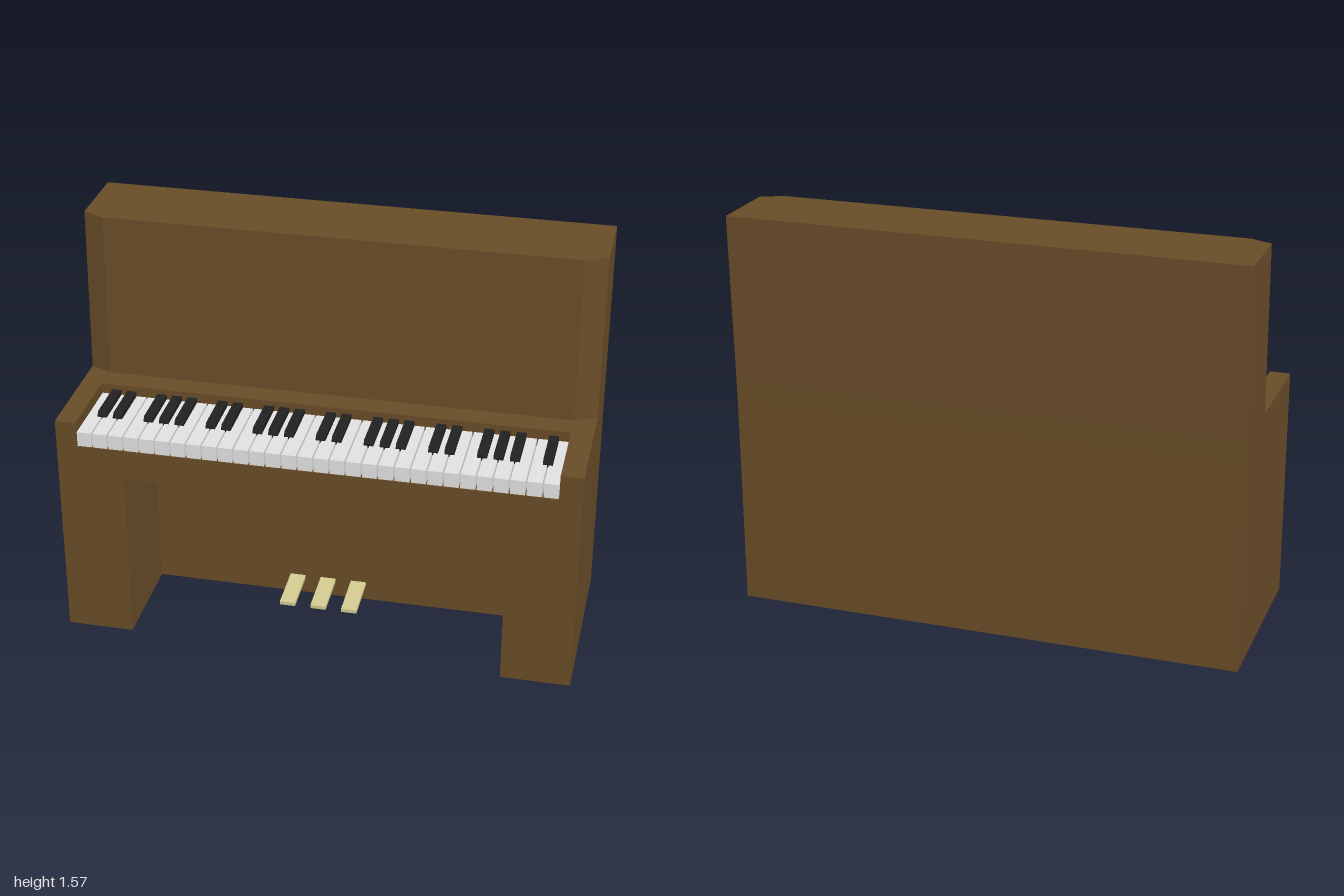
import * as THREE from 'three';

const mat = (name, color) => {
  const m = new THREE.MeshStandardMaterial({ color });
  m.name = name;
  return m;
};

// Extrudes a [z, y] side profile from x0 to x1
function extrudeX(profile, x0, x1) {
  const shape = new THREE.Shape(profile.map(([z, y]) => new THREE.Vector2(-z, y)));
  const geo = new THREE.ExtrudeGeometry(shape, { depth: x1 - x0, bevelEnabled: false });
  return geo.rotateY(Math.PI / 2).translate(x0, 0, 0);
}

export function createModel() {
  const wood = mat('walnut wood', 0x684c27);
  const ivory = mat('white key', 0xe0e0e0);
  const ebony = mat('black key', 0x202020);
  const brass = mat('brass', 0xd2ca90);

  const piano = new THREE.Group();
  piano.name = 'uprightPiano';
  const add = (parent, name, geo, material) => {
    const mesh = new THREE.Mesh(geo, material);
    mesh.name = name;
    parent.add(mesh);
    return mesh;
  };

  const front = 0.385, back = -0.365, deck = 0.92, bed = 0.82;
  const keyL = -0.92, keyR = 0.914, kneeL = -0.74, kneeR = 0.73;
  const keyBack = 0.06, kneeBack = -0.025, kneeTop = 0.70;

  // Lower case: solid cheeks, posts under the key bed, centre with knee space
  const rear = [[-0.367, deck], [back, 0.84], [back, 0]];
  const recess = [[front, bed], [keyBack, bed], [keyBack, deck]];
  const cheek = [[front, 0], [front, deck], ...rear];
  const post = [[front, 0], ...recess, ...rear];
  const centre = [[kneeBack, 0], [kneeBack, kneeTop], [front, kneeTop], ...recess, ...rear];
  add(piano, 'rightCheek', extrudeX(cheek, -1, keyL), wood);
  add(piano, 'leftCheek', extrudeX(cheek, keyR, 1), wood);
  add(piano, 'rightPost', extrudeX(post, keyL, kneeL), wood);
  add(piano, 'leftPost', extrudeX(post, kneeR, keyR), wood);
  add(piano, 'centreCase', extrudeX(centre, kneeL, kneeR), wood);

  // Upper cabinet: chamfered plan, leaning slightly backwards
  const plan = [[-1, -0.367], [1, -0.367], [1, -0.075], [0.915, -0.035], [-0.915, -0.035], [-1, -0.075]];
  const height = 0.655;
  const upper = new THREE.ExtrudeGeometry(
    new THREE.Shape(plan.map(([x, z]) => new THREE.Vector2(x, -z))),
    { depth: height, bevelEnabled: false });
  upper.rotateX(-Math.PI / 2);
  const p = upper.attributes.position;
  for (let i = 0; i < p.count; i++) p.setZ(i, p.getZ(i) - 0.019 * p.getY(i) / height);
  upper.computeVertexNormals();
  upper.translate(0, deck, 0);
  add(piano, 'upperCabinet', upper, wood);

  // Keyboard: thirty white keys, black keys in groups of two and three
  const keyboard = new THREE.Group();
  keyboard.name = 'keyboard';
  piano.add(keyboard);
  const count = 30, pitch = (keyR - keyL) / count;
  const whiteGeo = new THREE.BoxGeometry(pitch - 0.006, 0.059, 0.32);
  const blackGeo = extrudeX(
    [[0.25, 0.87], [0.25, 0.886], [0.237, 0.899], [keyBack, 0.899], [keyBack, 0.87]], -0.0185, 0.0185);
  for (let i = 0; i < count; i++) {
    add(keyboard, 'whiteKey', whiteGeo, ivory).position.set(keyL + (i + 0.5) * pitch, 0.8505, 0.222);
    if (i > 0 && i % 7 !== 0 && i % 7 !== 3) {
      add(keyboard, 'blackKey', blackGeo, ebony).position.x = keyL + i * pitch;
    }
  }

  // Three pedals, tipped down towards the player
  const pedalGeo = new THREE.BoxGeometry(0.062, 0.015, 0.2);
  for (const x of [-0.16, -0.035, 0.09]) {
    const pedal = add(piano, 'pedal', pedalGeo, brass);
    pedal.position.set(x, 0.068, 0.065);
    pedal.rotation.x = 0.055;
  }
  return piano;
}
